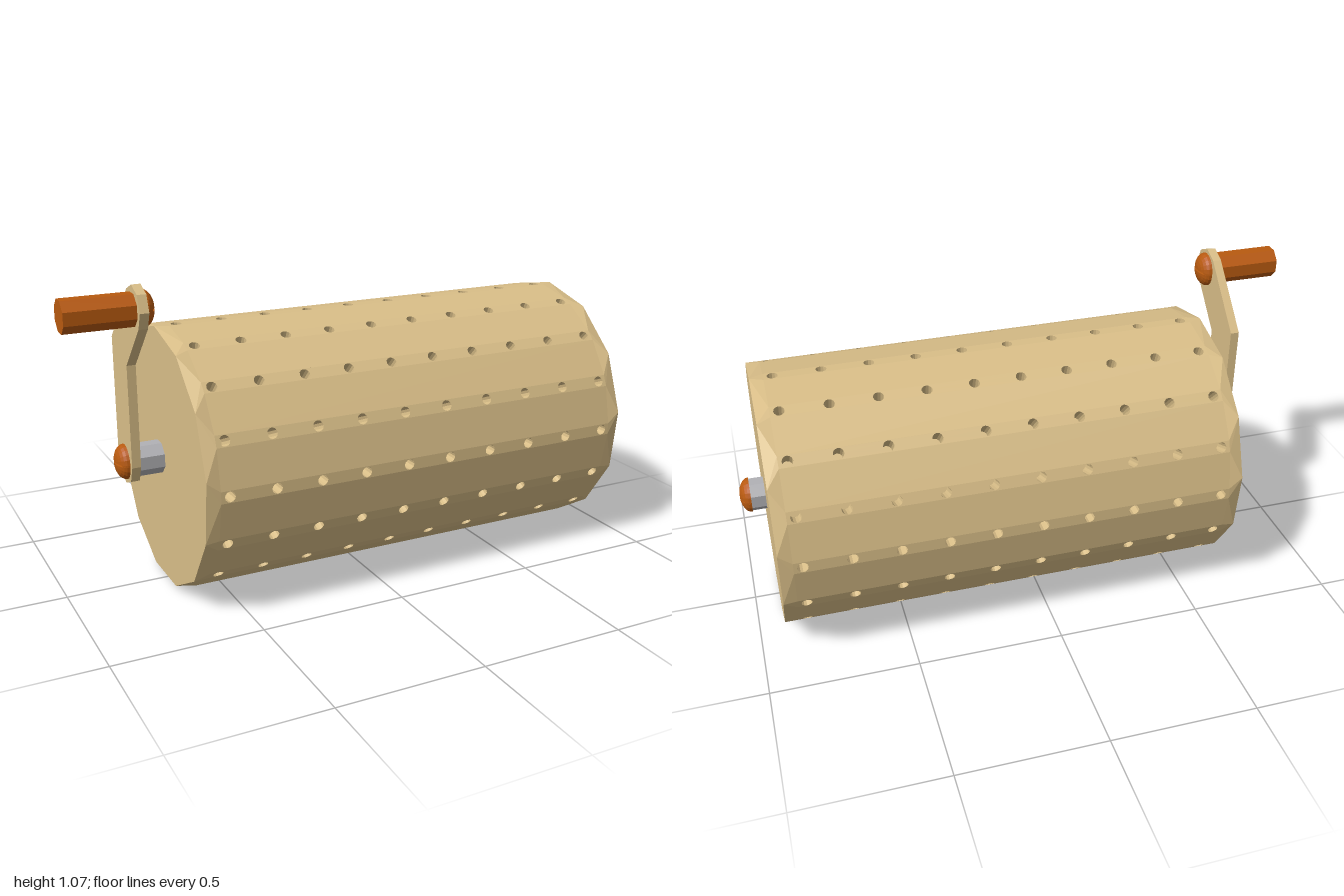
import * as THREE from 'three';
import { mergeGeometries } from 'three/addons/utils/BufferGeometryUtils.js';
import { ConvexGeometry } from 'three/addons/geometries/ConvexGeometry.js';

const R = 0.447;                      // drum radius and axis height
const LEFT = 0.915, RIGHT = -0.655;   // drum ends along x
const BEVEL = 0.045;                  // length of the end transitions
const ROWS = 16, HOLES = 10, HOLE_R = 0.018, HOLE_DEPTH = 0.08;
const TIP = { z: 0.172, y: 0.997 };   // crank handle axis

const wood = new THREE.MeshStandardMaterial({ color: 0xd9be88, side: THREE.DoubleSide });
wood.name = 'paleWood';
const copper = new THREE.MeshStandardMaterial({ color: 0xb85a10, flatShading: true });
copper.name = 'copperBrown';
const steel = new THREE.MeshStandardMaterial({ color: 0xb2b2b6, flatShading: true });
steel.name = 'steelGrey';

function add(parent, name, geometry, material) {
  const mesh = new THREE.Mesh(geometry, material);
  mesh.name = name;
  parent.add(mesh);
  return mesh;
}

// Flat-faced copy without uvs, ready to merge
function flat(geometry) {
  const g = geometry.index ? geometry.toNonIndexed() : geometry;
  g.deleteAttribute('uv');
  g.computeVertexNormals();
  return g;
}

// Eight-sided rod along x
function rod(x0, x1, radius) {
  return new THREE.CylinderGeometry(radius, radius, x1 - x0, 8, 1, false, Math.PI / 8)
    .rotateZ(Math.PI / 2).translate((x0 + x1) / 2, 0, 0);
}

// Drum wall: flat strips pierced by blind holes, with plain panels between
function drumWall() {
  const x0 = RIGHT + BEVEL, x1 = LEFT - BEVEL, w = 0.02;
  const d = Math.asin(w / R), e = Math.PI / ROWS - d;
  const strip = new THREE.Shape();
  strip.moveTo(x0, -w).lineTo(x1, -w).lineTo(x1, w).lineTo(x0, w).closePath();
  const parts = [];
  const cup = [[0, -HOLE_DEPTH], [HOLE_R, -HOLE_DEPTH], [HOLE_R, 0]]
    .map(([x, y]) => new THREE.Vector2(x, y));
  for (let i = 0; i < HOLES; i++) {
    const x = -0.58 + i * 0.1578;
    strip.holes.push(new THREE.Path().absarc(x, 0, HOLE_R, 0, Math.PI * 2, true));
    parts.push(flat(new THREE.LatheGeometry(cup, 12)
      .rotateX(Math.PI / 2).translate(x, 0, R * Math.cos(d))));
  }
  parts.push(flat(new THREE.ShapeGeometry(strip, 6).translate(0, 0, R * Math.cos(d))));
  parts.push(flat(new THREE.PlaneGeometry(x1 - x0, 2 * R * Math.sin(e))
    .translate((x0 + x1) / 2, 0, R * Math.cos(e)).rotateX(Math.PI / ROWS)));
  const sector = mergeGeometries(parts);
  const sectors = [];
  for (let i = 0; i < ROWS; i++) sectors.push(sector.clone().rotateX(i * 2 * Math.PI / ROWS));
  return mergeGeometries(sectors);
}

// Drum end: blends the many-sided wall into a thirteen-sided face
function drumEnd(xIn, xOut) {
  const pts = [], d = Math.asin(0.02 / R);
  const put = (x, a) => pts.push(new THREE.Vector3(x, R * Math.cos(a), R * Math.sin(a)));
  for (let i = 0; i < ROWS; i++) {
    const a = i * 2 * Math.PI / ROWS;
    put(xIn, a - d);
    put(xIn, a + d);
  }
  for (let i = 0; i < 13; i++) put(xOut, i * 2 * Math.PI / 13);
  return new ConvexGeometry(pts);
}

// Slotted screw head, domed towards local +y, slot along z
function screwHead(name) {
  const head = new THREE.Group();
  head.name = name;
  const r = 0.057, h = 0.036, gap = 0.003, floor = 0.6;
  const parts = [];
  for (const s of [1, -1]) {
    const half = new THREE.SphereGeometry(r, 10, 6, s * Math.PI / 2 + (s < 0 ? 2 * Math.PI : 0),
      Math.PI, 0, Math.PI / 2);
    const wall = new THREE.CircleGeometry(r, 12, 0, Math.PI).rotateY(-s * Math.PI / 2);
    for (const g of [half, wall]) {
      parts.push(flat(g.scale(1, h / r, 1).translate(s * gap, 0, 0)));
    }
  }
  parts.push(flat(new THREE.CircleGeometry(r, 20).rotateX(Math.PI / 2)));
  // Slot floor: dome outline cut off flat
  const outline = [];
  for (let i = 0; i <= 16; i++) {
    const a = i * Math.PI / 16;
    outline.push(new THREE.Vector2(r * Math.cos(a), h * Math.min(Math.sin(a), floor)));
  }
  parts.push(flat(new THREE.ExtrudeGeometry(new THREE.Shape(outline),
    { depth: 2 * gap, bevelEnabled: false }).translate(0, 0, -gap).rotateY(Math.PI / 2)));
  add(head, name + 'Dome', mergeGeometries(parts), copper);
  return head;
}

// Crank arm: upright lower half, upper half leaning forward at 45 degrees
function crankArm() {
  const w = 0.076, k = w * Math.tan(Math.PI / 8), bendY = TIP.y - TIP.z;
  const pts = [];
  const arc = (z, y, from) => {
    for (let i = 0; i <= 4; i++) {
      const a = from + i * Math.PI / 4;
      pts.push(new THREE.Vector2(z + w * Math.cos(a), y + w * Math.sin(a)));
    }
  };
  arc(0, R, Math.PI);
  pts.push(new THREE.Vector2(w, bendY - k));
  arc(TIP.z, TIP.y, -Math.PI / 4);
  pts.push(new THREE.Vector2(-w, bendY + k));
  return new THREE.ExtrudeGeometry(new THREE.Shape(pts), { depth: 0.03, bevelEnabled: false })
    .rotateY(-Math.PI / 2).translate(-0.745, 0, 0);
}

export function createModel() {
  const model = new THREE.Group();
  model.name = 'crankDrum';

  const drum = new THREE.Group();
  drum.name = 'drum';
  drum.position.y = R;
  model.add(drum);
  add(drum, 'drumWall', drumWall(), wood);
  add(drum, 'drumLeftEnd', drumEnd(LEFT - BEVEL, LEFT), wood);
  add(drum, 'drumRightEnd', drumEnd(RIGHT + BEVEL, RIGHT), wood);

  // Axle stubs on both ends
  add(drum, 'leftAxle', rod(LEFT - 0.02, 0.964, 0.056), steel);
  add(drum, 'rightAxle', rod(-0.76, RIGHT + 0.02, 0.056), steel);

  // Crank and handle
  add(model, 'crankArm', crankArm(), wood);
  add(model, 'handle', rod(-1, -0.76, 0.055), copper).position.set(0, TIP.y, TIP.z);

  // Screw heads: [name, x, y, z, facing]
  for (const [name, x, y, z, s] of [
    ['leftAxleScrew', 0.964, R, 0, 1],
    ['rightAxleScrew', -0.775, R, 0, -1],
    ['handleScrew', -0.745, TIP.y, TIP.z, 1],
  ]) {
    const head = screwHead(name);
    head.position.set(x, y, z);
    head.rotation.z = -s * Math.PI / 2;
    model.add(head);
  }
  return model;
}
